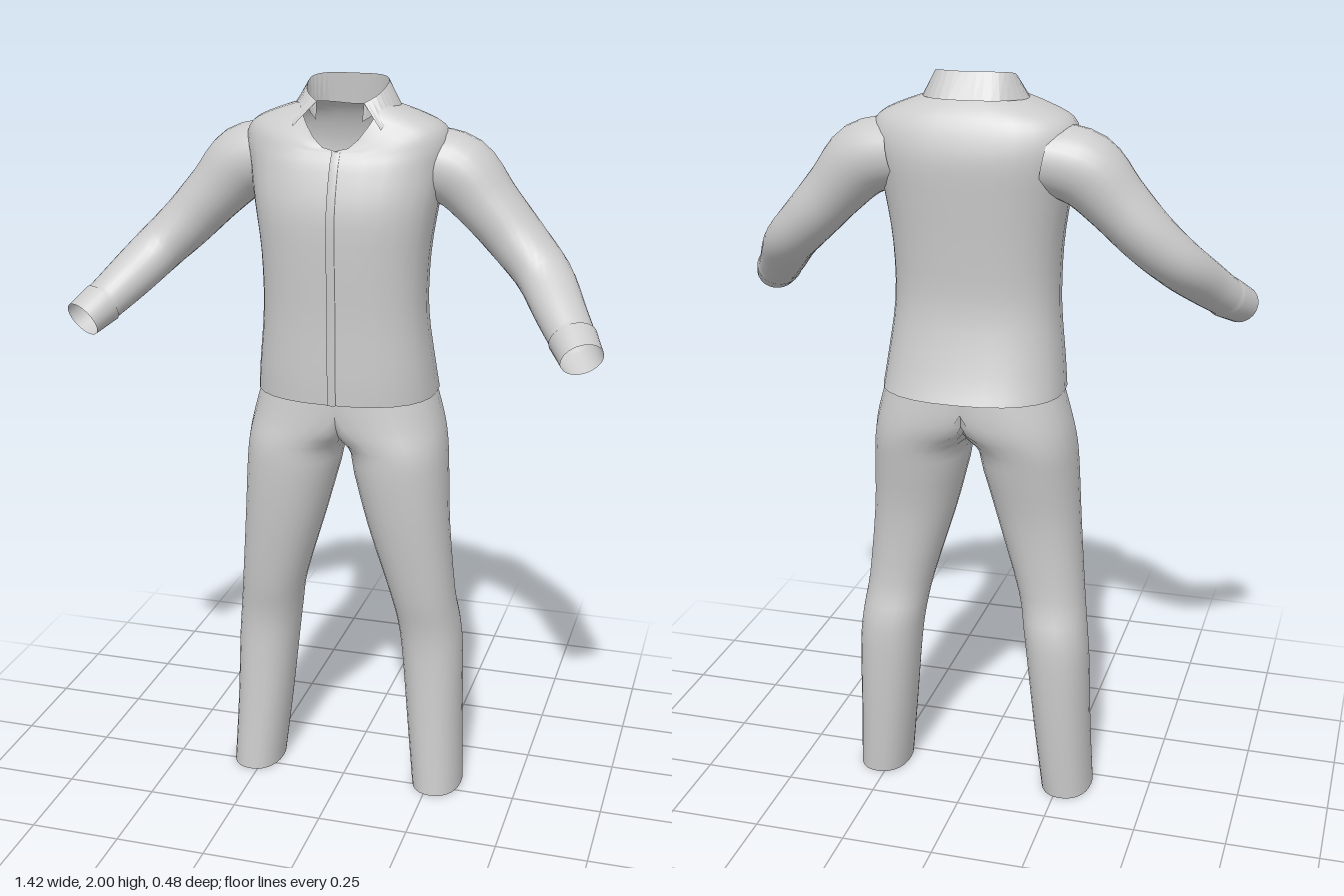
import * as THREE from 'three';

const SIDES = 28;
const material = new THREE.MeshStandardMaterial({ color: 0xcccccc, side: THREE.DoubleSide });

// Smoothly interpolates rows of numbers, adding n steps between neighbours
function refine(rows, n) {
  const out = [];
  const row = (i) => rows[Math.min(Math.max(i, 0), rows.length - 1)];
  for (let i = 0; i < rows.length - 1; i++) {
    for (let k = 0; k < n; k++) {
      const t = k / n;
      out.push(rows[i].map((b, c) => {
        const a = row(i - 1)[c], d = row(i + 1)[c], e = row(i + 2)[c];
        return b + 0.5 * t * (d - a + t * (2 * a - 5 * b + 4 * d - e + t * (3 * (b - d) + e - a)));
      }));
    }
  }
  out.push(rows[rows.length - 1]);
  return out;
}

// Skins a list of rings; skips faces lying on the centre plane if asked
function loft(name, rings, closed = true, skipCentre = false) {
  const m = rings[0].length, index = [];
  const flat = rings.flat();
  for (let i = 0; i < rings.length - 1; i++) {
    for (let j = 0; j < (closed ? m : m - 1); j++) {
      const a = i * m + j, b = i * m + (j + 1) % m;
      const quad = [a, a + m, b, b + m];
      if (skipCentre && quad.every((q) => flat[q].x < 1e-4)) continue;
      index.push(a, a + m, b, b, a + m, b + m);
    }
  }
  const geometry = new THREE.BufferGeometry().setFromPoints(flat);
  geometry.setIndex(index);
  geometry.computeVertexNormals();
  const mesh = new THREE.Mesh(geometry, material);
  mesh.name = name;
  return mesh;
}

const power = (v, p) => Math.sign(v) * Math.abs(v) ** p;
const angles = Array.from({ length: SIDES }, (_, j) => (j / SIDES) * Math.PI * 2);

function mirrored(mesh, name) {
  const copy = mesh.clone();
  copy.name = name;
  copy.scale.x = -1;
  return copy;
}

// Trouser half: y, inner x, outer x, back z, front z (inner side is cut at x = 0)
function trouserLeg() {
  const rows = refine([
    [0, 0.2, 0.34, -0.15, 0.05], [0.2, 0.178, 0.332, -0.165, 0.035],
    [0.4, 0.158, 0.327, -0.175, 0.025], [0.5, 0.145, 0.318, -0.17, 0.03],
    [0.6, 0.125, 0.305, -0.148, 0.05], [0.8, 0.065, 0.288, -0.155, 0.08],
    [0.95, 0.025, 0.28, -0.183, 0.095], [1.03, 0, 0.274, -0.2, 0.096],
    [1.1, -0.12, 0.262, -0.215, 0.093], [1.2, -0.235, 0.235, -0.215, 0.09],
  ], 3);
  const rings = rows.map(([y, x0, x1, z0, z1]) => angles.map((a) => new THREE.Vector3(
    Math.max(0, (x0 + x1) / 2 + (x1 - x0) / 2 * power(Math.cos(a), 0.9)), y,
    (z0 + z1) / 2 + (z1 - z0) / 2 * power(Math.sin(a), 0.9))));
  return loft('leftTrouserLeg', rings, true, true);
}

// Shirt body: y, half width, back z, front z, drop of the front for the open neck
function shirtRings() {
  const rows = refine([
    [1.175, 0.243, -0.25, 0.13, 0], [1.25, 0.235, -0.222, 0.132, 0],
    [1.4, 0.219, -0.187, 0.132, 0], [1.55, 0.222, -0.192, 0.138, 0],
    [1.68, 0.24, -0.203, 0.137, 0], [1.78, 0.258, -0.21, 0.11, 0],
    [1.84, 0.268, -0.2, 0.092, 0.025], [1.885, 0.25, -0.182, 0.085, 0.06],
    [1.915, 0.19, -0.16, 0.082, 0.085], [1.94, 0.115, -0.13, 0.078, 0.11],
  ], 3);
  return rows.map(([y, rx, z0, z1, drop]) => angles.map((a) => {
    const s = Math.sin(a);
    return new THREE.Vector3(
      rx * power(Math.cos(a), 0.82),
      y - drop * Math.max(0, s) ** 3,
      (z0 + z1) / 2 + (z1 - z0) / 2 * power(s, 0.82));
  }));
}

// Front closure: a narrow overlapping strip following the shirt's front line
function placket(rings) {
  const strip = rings.slice(0, -1).map((ring) => {
    const p = ring[SIDES / 4];
    return [0.016, 0.014, -0.006, -0.008].map((x, k) =>
      new THREE.Vector3(x, p.y, p.z + (k % 3 ? 0.004 : -0.004)));
  });
  return loft('placket', strip, false);
}

// Sleeve: centre x, y, z and radii in and across the vertical plane
function sleeve() {
  const rows = refine([
    [0.2, 1.79, -0.075, 0.09, 0.1], [0.29, 1.765, -0.075, 0.096, 0.098],
    [0.37, 1.685, -0.068, 0.081, 0.086], [0.45, 1.6, -0.055, 0.073, 0.08],
    [0.525, 1.525, -0.015, 0.066, 0.074], [0.585, 1.455, 0.075, 0.059, 0.066],
    [0.625, 1.41, 0.135, 0.053, 0.06],
  ], 4);
  // Cuff with a small step
  rows.push([0.627, 1.408, 0.138, 0.056, 0.063], [0.66, 1.375, 0.195, 0.05, 0.056]);
  const centres = rows.map((r) => new THREE.Vector3(r[0], r[1], r[2]));
  const up = new THREE.Vector3(0, 1, 0);
  const rings = rows.map((r, i) => {
    const t = centres[Math.min(i + 1, rows.length - 1)].clone()
      .sub(centres[Math.max(i - 1, 0)]).normalize();
    const across = t.clone().cross(up).normalize();
    const above = t.clone().cross(across);
    return angles.map((a) => centres[i].clone()
      .addScaledVector(above, r[3] * Math.cos(a)).addScaledVector(across, r[4] * Math.sin(a)));
  });
  return loft('leftSleeve', rings);
}

// Folded collar: each row holds inner base, top fold and outer edge, from back to front
function collar() {
  const half = [
    [0, 1.92, -0.12, 0, 2, -0.112, 0, 1.935, -0.155],
    [0.07, 1.925, -0.108, 0.072, 2, -0.1, 0.085, 1.935, -0.142],
    [0.1, 1.93, -0.055, 0.104, 1.992, -0.06, 0.137, 1.93, -0.065],
    [0.092, 1.92, 0, 0.095, 1.966, 0, 0.134, 1.915, 0.01],
    [0.06, 1.9, 0.04, 0.062, 1.945, 0.03, 0.115, 1.885, 0.065],
  ];
  const flip = (r) => r.map((v, i) => (i % 3 ? v : -v));
  const rows = refine([...half.slice(1).reverse().map(flip), ...half], 4);
  const rings = rows.map((r) => [0, 3, 6].map((k) => new THREE.Vector3(r[k], r[k + 1], r[k + 2])));
  const mesh = loft('collar', rings.map((r) => r.reverse()), false);
  mesh.geometry = mesh.geometry.toNonIndexed();
  mesh.geometry.computeVertexNormals();
  return mesh;
}

export function createModel() {
  const group = new THREE.Group();
  group.name = 'shirtAndTrousers';
  const leg = trouserLeg(), arm = sleeve(), body = shirtRings();
  group.add(
    leg, mirrored(leg, 'rightTrouserLeg'),
    loft('shirtBody', body), placket(body),
    arm, mirrored(arm, 'rightSleeve'),
    collar(),
  );
  return group;
}
